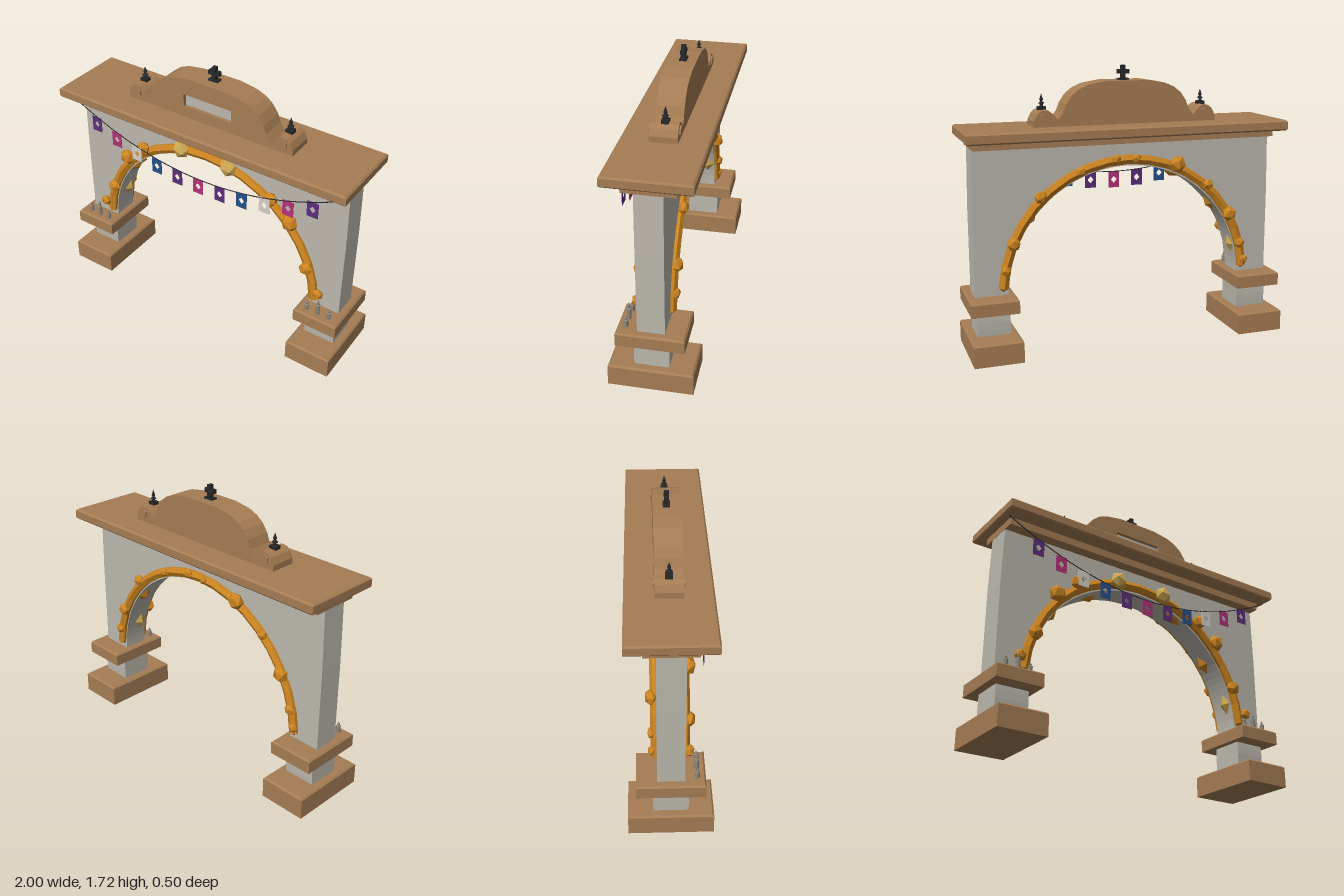
import * as THREE from 'three';

const mat = (name, color) => {
  const m = new THREE.MeshStandardMaterial({ color });
  m.name = name;
  return m;
};

// Faceted normals without touching the material
const flat = (g) => {
  const f = g.index ? g.toNonIndexed() : g;
  f.computeVertexNormals();
  return f;
};

// Box from y0 to y1 with chamfered top and/or bottom edges
function chamferBox(w, y0, y1, d, top = 0.01, bottom = 0) {
  const h = y1 - y0, g = new THREE.BoxGeometry(w, h, d, 1, 3, 1), p = g.attributes.position;
  for (let i = 0; i < p.count; i++) {
    const row = Math.round((p.getY(i) / h + 0.5) * 3);
    const inset = row === 3 ? top : row === 0 ? bottom : 0;
    const y = [y0, y0 + bottom, y1 - top, y1][row];
    p.setXYZ(i, p.getX(i) - Math.sign(p.getX(i)) * inset, y, p.getZ(i) - Math.sign(p.getZ(i)) * inset);
  }
  return flat(g);
}

const extrude = (shape, depth, z0, curveSegments = 12) =>
  new THREE.ExtrudeGeometry(shape, { depth, bevelEnabled: false, curveSegments }).translate(0, 0, z0);

function rect(target, x0, y0, x1, y1) {
  target.moveTo(x0, y0).lineTo(x1, y0).lineTo(x1, y1).lineTo(x0, y1).closePath();
  return target;
}

export function createModel() {
  const root = new THREE.Group();
  root.name = 'festiveArch';
  const brown = mat('sandstone', 0xa67d54), stone = mat('paleStone', 0xbcb8ae), iron = mat('darkIron', 0x26282b);
  const orange = mat('marigold', 0xcc8420), gold = mat('paleGold', 0xd0aa54), wax = mat('candleGrey', 0x8d867a);
  const purple = mat('purplePaper', 0x5b2d7c), pink = mat('pinkPaper', 0xb43278);
  const blue = mat('bluePaper', 0x24508c), white = mat('whitePaper', 0xd6d2ca);
  purple.side = pink.side = blue.side = white.side = THREE.DoubleSide;

  const add = (name, geo, material, x = 0, y = 0, z = 0, parent = root) => {
    const m = new THREE.Mesh(geo, material);
    m.name = name;
    m.position.set(x, y, z);
    parent.add(m);
    return m;
  };

  // Wall with elliptical opening
  const wall = new THREE.Shape();
  wall.moveTo(0.75, 0.37).lineTo(0.955, 0.37).lineTo(0.955, 0.9).lineTo(0.948, 1.27);
  wall.lineTo(-0.948, 1.27).lineTo(-0.955, 0.9).lineTo(-0.955, 0.37).lineTo(-0.75, 0.37);
  wall.absellipse(0, 0.37, 0.75, 0.745, Math.PI, 0, true);
  add('archWall', extrude(wall, 0.16, -0.08, 28), stone);

  // Plinths, short bulging piers, ledges and candles
  const pier = new THREE.BoxGeometry(0.2, 0.18, 0.2, 1, 4, 1), pp = pier.attributes.position;
  for (let i = 0; i < pp.count; i++) {
    const k = 1 + 0.04 * Math.cos((pp.getY(i) / 0.09) * Math.PI / 2);
    pp.setZ(i, pp.getZ(i) * k);
  }
  const candle = (h) => new THREE.LatheGeometry(
    [[0, 0], [0.014, 0], [0.014, h * 0.6], [0.006, h * 0.66], [0.008, h * 0.78], [0, h]].map(([x, y]) => new THREE.Vector2(x, y)), 8);
  for (const s of [-1, 1]) {
    add('plinth', chamferBox(0.298, 0, 0.135, 0.5), brown, s * 0.851);
    add('pier', flat(pier), stone, s * 0.85, 0.215);
    add('ledge', chamferBox(0.288, 0.29, 0.375, 0.4), brown, s * 0.855);
    [[0.925, 0.075], [0.85, 0.115], [0.775, 0.065]].forEach(([x, h]) =>
      add('candle', flat(candle(h)), wax, s * x, 0.374, 0.15));
  }

  // Cornice
  add('corniceMoulding', chamferBox(1.9, 1.26, 1.306, 0.3, 0), brown);
  add('corniceSlab', chamferBox(2, 1.305, 1.37, 0.5, 0.01, 0.01), brown);

  // Curved pediment, its front layer pierced for a recessed panel
  const half = [[0.575, 1.365], [0.575, 1.405], [0.555, 1.445], [0.53, 1.465], [0.49, 1.468], [0.46, 1.445],
    [0.43, 1.41], [0.4, 1.45], [0.38, 1.5], [0.345, 1.55], [0.3, 1.585], [0.24, 1.61], [0.13, 1.628]];
  const outline = [...half, ...half.map(([x, y]) => [-x, y]).reverse()].map(([x, y]) => new THREE.Vector2(x, y));
  add('pedimentBack', extrude(new THREE.Shape(outline), 0.13, -0.08), brown);
  const front = new THREE.Shape(outline);
  front.holes.push(rect(new THREE.Path(), -0.165, 1.44, 0.165, 1.52));
  add('pedimentFront', extrude(front, 0.03, 0.05), brown);
  add('recessedPanel', new THREE.BoxGeometry(0.33, 0.08, 0.008), stone, 0, 1.48, 0.054);

  // Rosettes and spiked finials
  const spike = [[0, 0], [0.01, 0], [0.01, 0.02], [0.02, 0.024], [0.006, 0.036], [0.012, 0.045], [0, 0.08]]
    .map(([x, y]) => new THREE.Vector2(x, y));
  for (const s of [-1, 1]) {
    add('rosette', flat(new THREE.CylinderGeometry(0.03, 0.03, 0.18, 6).rotateX(Math.PI / 2)), brown, s * 0.51, 1.424);
    add('finialBase', new THREE.BoxGeometry(0.045, 0.022, 0.042), iron, s * 0.51, 1.474);
    add('finialSpike', flat(new THREE.LatheGeometry(spike, 8)), iron, s * 0.51, 1.48);
  }

  // Cross on top
  add('crossFoot', new THREE.BoxGeometry(0.065, 0.012, 0.042), iron, 0, 1.632);
  add('crossPost', new THREE.BoxGeometry(0.025, 0.082, 0.028), iron, 0, 1.675);
  add('crossBar', new THREE.BoxGeometry(0.074, 0.025, 0.028), iron, 0, 1.678);

  // Garlands along both faces of the arch
  const onArch = (t, a = 0.785, b = 0.785) => [a * Math.cos(t), 0.37 + b * Math.sin(t)];
  const path = [];
  for (let i = 0; i <= 18; i++) {
    const t = 0.06 + (Math.PI - 0.12) * i / 18;
    path.push(new THREE.Vector3(...onArch(t), 0));
  }
  const curve = new THREE.CatmullRomCurve3(path);
  for (const s of [-1, 1]) {
    const g = new THREE.Group();
    g.name = s > 0 ? 'frontGarland' : 'backGarland';
    g.position.z = s * 0.082;
    root.add(g);
    add('garlandRope', flat(new THREE.TubeGeometry(curve, 18, 0.032, 6)), orange, 0, 0, 0, g);
    for (const e of [0, 1]) {
      const cap = add('ropeEnd', flat(new THREE.ConeGeometry(0.032, 0.025, 6)), orange, 0, 0, 0, g);
      cap.position.copy(path[e * 18]);
      cap.position.y -= 0.01;
      cap.rotation.z = Math.PI;
    }
  }

  // Faceted blossoms: x, y, radius
  let turn = 0;
  const blossom = (x, y, z, r, material) => {
    const b = add('blossom', flat(new THREE.IcosahedronGeometry(r, 0)), material, x, y, z);
    b.rotation.z = turn += 1.3;
    b.scale.z = 0.75;
  };
  for (const s of [-1, 1]) {
    [[0.17, 1.15, 0.058], [0.465, 1.045, 0.048], [0.6, 0.93, 0.055], [0.73, 0.645, 0.048], [0.82, 0.485, 0.038]]
      .forEach(([x, y, r], i) => blossom(s * x, y, 0.112, r, i ? orange : gold));
  }
  [[0.77, 0.53, 0.035], [0.72, 0.69, 0.045], [0.55, 0.96, 0.042], [0.3, 1.1, 0.032], [0.08, 1.16, 0.032], [-0.05, 1.16, 0.032],
    [-0.32, 1.11, 0.055], [-0.53, 0.97, 0.035], [-0.68, 0.77, 0.05], [-0.76, 0.57, 0.036], [-0.79, 0.46, 0.03]]
    .forEach(([x, y, r]) => blossom(x, y, -0.108, r, orange));

  // Leafy diamonds on the underside of the arch
  [0.25, 0.65, 1.15, 1.99, 2.49, 2.89].forEach((t, i) => {
    const [x, y] = onArch(t, 0.75, 0.745);
    const leaf = add('innerLeaf', flat(new THREE.OctahedronGeometry(1, 0)), i % 5 ? orange : gold, x, y, i % 2 ? -0.03 : 0.03);
    leaf.scale.set(0.028, 0.07, 0.045);
    leaf.rotation.z = t;
  });

  // Sagging cord with pierced paper flags
  const sag = (x) => 1.035 + 0.26 * (x / 0.975) ** 2;
  const cord = [];
  for (let i = -10; i <= 10; i++) cord.push(new THREE.Vector3(i * 0.0975, sag(i * 0.0975), 0.177));
  add('buntingCord', new THREE.TubeGeometry(new THREE.CatmullRomCurve3(cord), 40, 0.003, 5), iron);
  const flag = rect(new THREE.Shape(), -0.036, -0.102, 0.036, 0);
  flag.holes.push(new THREE.Path().moveTo(0, -0.074).lineTo(0.02, -0.051).lineTo(0, -0.028).lineTo(-0.02, -0.051).closePath());
  const flagGeo = extrude(flag, 0.003, -0.0015);
  const papers = [pink, purple, blue, white, pink, purple];
  for (let i = -5; i <= 5; i++) {
    add('paperFlag', flagGeo, papers[Math.abs(i)], i * 0.155, sag(i * 0.155) - 0.001, 0.177);
  }
  return root;
}
